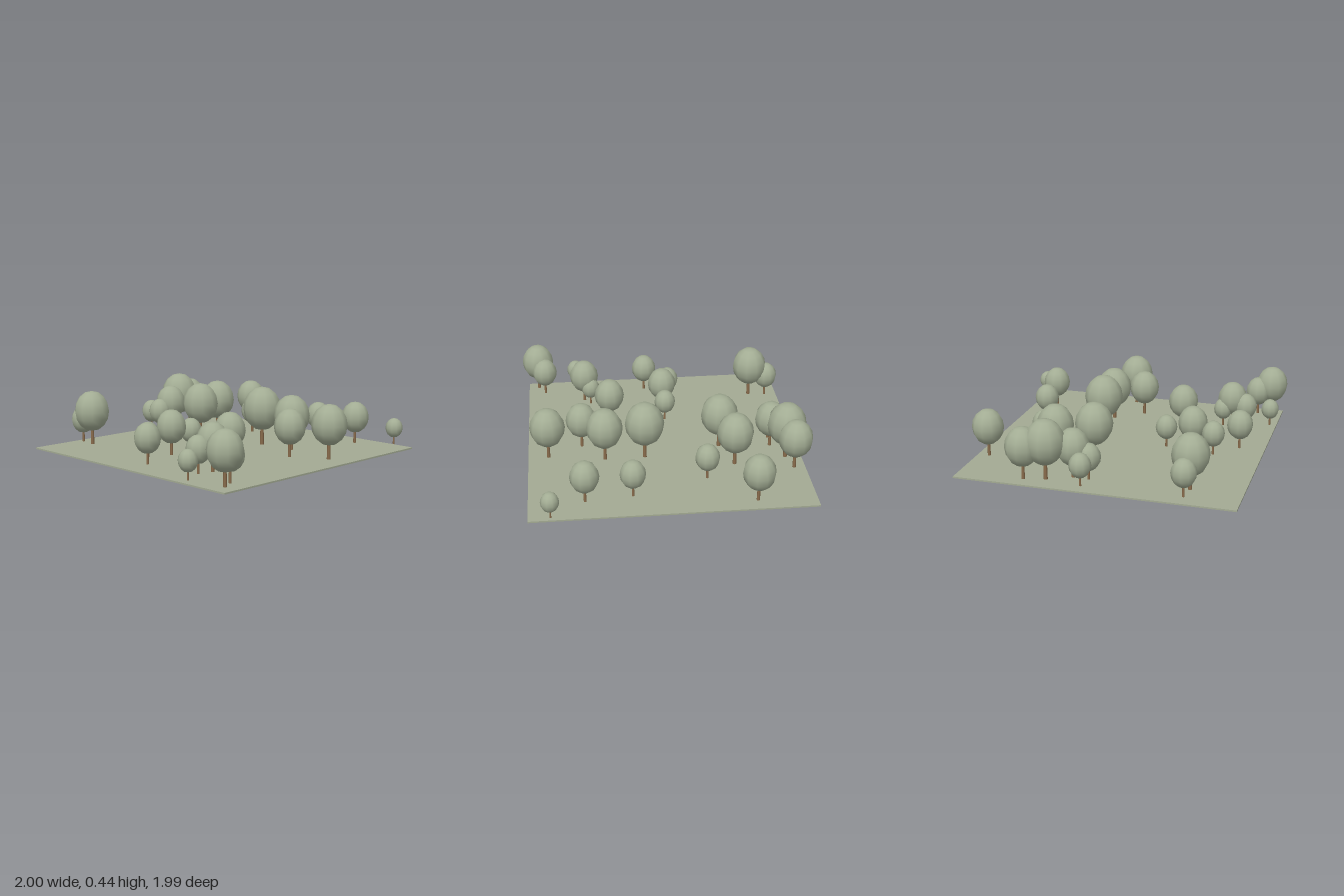
import * as THREE from 'three';

// Each tree: x, z, crown radius
const TREES = [
  [-0.56, -0.87, 0.111], [0.26, -0.74, 0.088], [0.58, -0.775, 0.099], [0.81, -0.94, 0.062],
  [-0.26, -0.57, 0.085], [-0.88, -0.49, 0.119], [-0.845, -0.345, 0.137], [-0.765, -0.18, 0.113],
  [-0.89, -0.09, 0.075], [-0.77, -0.07, 0.083], [-0.475, -0.405, 0.128], [-0.4, -0.15, 0.132],
  [0.14, -0.25, 0.138], [0.42, -0.255, 0.128], [0.575, -0.06, 0.11], [0.815, -0.19, 0.124],
  [-0.055, 0.275, 0.077], [0.355, 0.3, 0.108], [-0.05, 0.465, 0.104], [-0.11, 0.625, 0.08],
  [0.06, 0.78, 0.092], [0.485, 0.575, 0.069], [0.53, 0.635, 0.107], [0.505, 0.74, 0.083],
  [0.59, 0.91, 0.065], [0.83, 0.78, 0.093], [0.88, 0.875, 0.118], [-0.87, 0.595, 0.086],
  [-0.745, 0.61, 0.127],
];

export function createModel() {
  const mat = (name, color) => new THREE.MeshStandardMaterial({ name, color });
  const grass = mat('grass', 0xa3aa93);
  const foliage = mat('foliage', 0xa3ad94);
  const bark = mat('bark', 0x8a6c4c);

  const model = new THREE.Group();
  model.name = 'grove';

  // Thin square ground slab
  const ground = new THREE.Mesh(new THREE.BoxGeometry(1.92, 0.011, 1.92), grass);
  ground.name = 'ground';
  ground.position.set(-0.002, 0.0055, -0.002);
  model.add(ground);

  // One unit tree (crown radius 1), scaled for every position
  const crownGeo = new THREE.SphereGeometry(1, 10, 8).scale(1, 1.15, 1).translate(0, 1.92, 0);
  const trunkGeo = new THREE.CylinderGeometry(0.08, 0.11, 1.3, 6).translate(0, 0.65, 0);

  TREES.forEach(([x, z, r]) => {
    const tree = new THREE.Group();
    tree.name = 'tree';
    const crown = new THREE.Mesh(crownGeo, foliage);
    crown.name = 'crown';
    const trunk = new THREE.Mesh(trunkGeo, bark);
    trunk.name = 'trunk';
    tree.add(crown, trunk);
    tree.position.set(x, 0.02, z);
    tree.scale.setScalar(r);
    model.add(tree);
  });

  return model;
}
